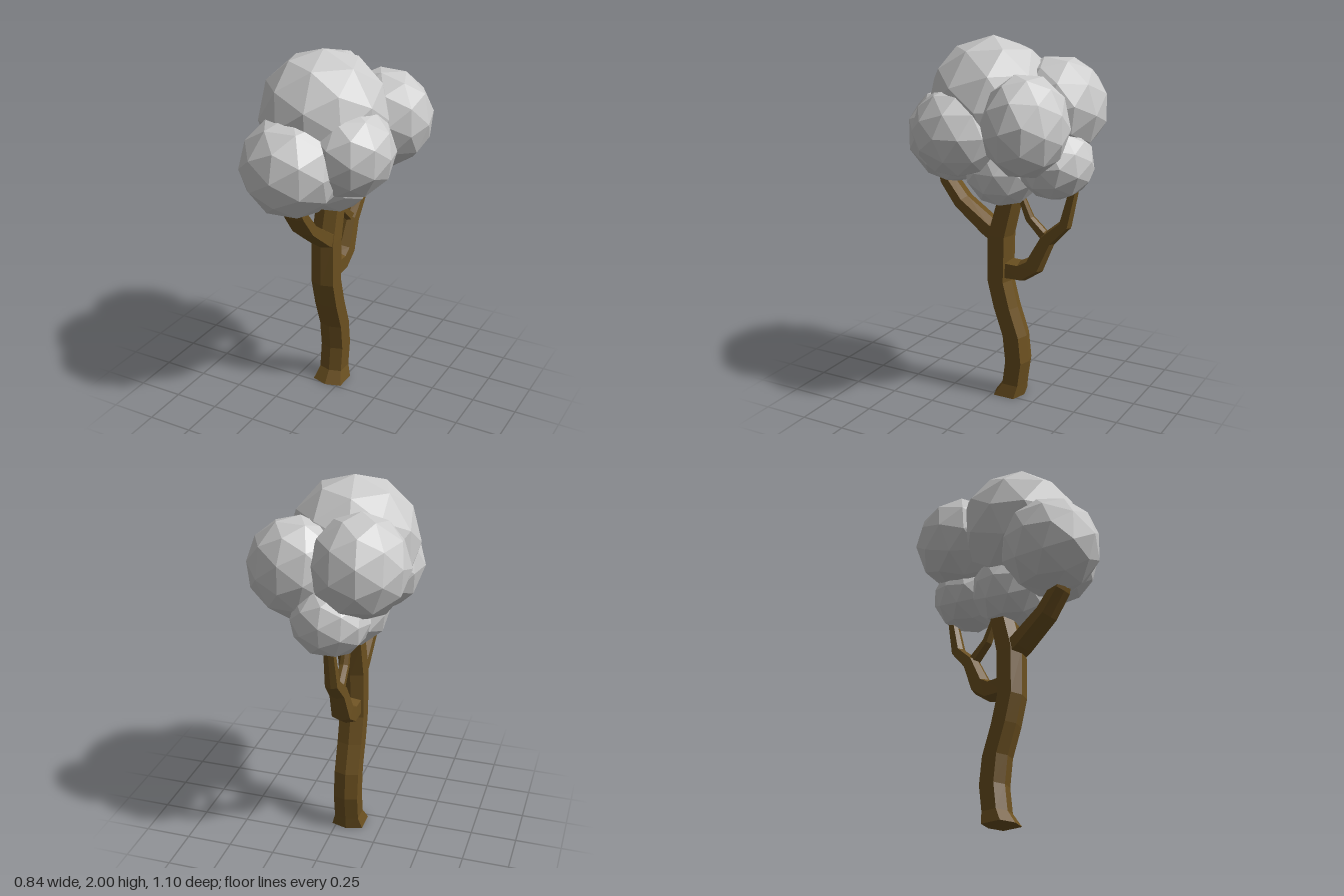
import * as THREE from 'three';

const bark = new THREE.MeshStandardMaterial({ color: 0x6b5020, flatShading: true });
const leaf = new THREE.MeshStandardMaterial({ color: 0xcccccc, flatShading: true });
const TRUNK_X = -0.065;

// Boxy six-sided cross-section: [width factor, depth factor], with ridges front and back
const RING = [[0, 1], [-1, 0.7], [-1, -0.7], [0, -1], [1, -0.7], [1, 0.7]];

// Limb lofted along a path in the YZ plane.
// Each section is [z, y, half depth, half width]; level keeps the rings horizontal.
function limb(name, sections, level = false) {
  const pos = [], idx = [], n = sections.length;
  sections.forEach(([z, y, depth, width], i) => {
    const a = sections[Math.max(i - 1, 0)], b = sections[Math.min(i + 1, n - 1)];
    const len = Math.hypot(b[0] - a[0], b[1] - a[1]);
    const tz = level ? 0 : (b[0] - a[0]) / len;
    const ty = level ? 1 : (b[1] - a[1]) / len;
    for (const [u, v] of RING) {
      pos.push(u * width, y - tz * v * depth, z + ty * v * depth);
    }
  });
  for (let i = 0; i < n - 1; i++) {
    for (let j = 0; j < 6; j++) {
      const a = i * 6 + j, b = i * 6 + (j + 1) % 6;
      idx.push(a, a + 6, b, b, a + 6, b + 6);
    }
  }
  // end caps
  const top = (n - 1) * 6;
  for (let j = 1; j < 5; j++) idx.push(0, j, j + 1, top, top + j + 1, top + j);
  const geo = new THREE.BufferGeometry();
  geo.setAttribute('position', new THREE.Float32BufferAttribute(pos, 3));
  geo.setIndex(idx);
  geo.computeVertexNormals();
  const mesh = new THREE.Mesh(geo, bark);
  mesh.name = name;
  mesh.position.x = TRUNK_X;
  return mesh;
}

// Faceted ball of leaves, turned and tilted before it is sized
function foliage(name, center, size, turn, tilt) {
  const geo = new THREE.IcosahedronGeometry(1, 1).rotateX(tilt).rotateY(turn);
  const mesh = new THREE.Mesh(geo, leaf);
  mesh.name = name;
  mesh.position.set(...center);
  mesh.scale.set(...size);
  return mesh;
}

export function createModel() {
  const tree = new THREE.Group();
  tree.name = 'tree';

  // Wavy trunk with a flared foot
  tree.add(limb('trunk', [
    [-0.078, 0, 0.0875, 0.0875], [-0.107, 0.07, 0.067, 0.0675],
    [-0.126, 0.21, 0.068, 0.0675], [-0.109, 0.36, 0.068, 0.0675],
    [-0.053, 0.52, 0.068, 0.0675], [-0.014, 0.67, 0.067, 0.0675],
    [-0.018, 0.93, 0.07, 0.0675], [-0.07, 1.13, 0.064, 0.065],
    [-0.09, 1.25, 0.055, 0.055],
  ], true));

  // Branches
  tree.add(limb('frontBranch', [
    [-0.02, 0.92, 0.052, 0.064], [0.05, 0.96, 0.048, 0.064],
    [0.22, 1.085, 0.038, 0.062], [0.31, 1.2, 0.033, 0.058], [0.345, 1.29, 0.022, 0.045],
  ]));
  tree.add(limb('backBranch', [
    [-0.03, 0.738, 0.06, 0.055], [-0.15, 0.738, 0.058, 0.053],
    [-0.225, 0.785, 0.054, 0.05], [-0.3, 0.94, 0.042, 0.04],
    [-0.398, 1.035, 0.034, 0.033], [-0.45, 1.26, 0.023, 0.025],
  ]));
  tree.add(limb('backTwig', [
    [-0.32, 0.945, 0.03, 0.028], [-0.27, 0.965, 0.027, 0.026],
    [-0.19, 1.04, 0.023, 0.023], [-0.135, 1.16, 0.018, 0.018],
  ]));

  // Crown
  const crown = new THREE.Group();
  crown.name = 'crown';
  [
    ['topFoliage', [-0.053, 1.655, 0.025], [0.343, 0.345, 0.347], 0.75, 0],
    ['frontFoliage', [-0.098, 1.45, 0.276], [0.272, 0.27, 0.274], 0.1, 0],
    ['leftFoliage', [0.15, 1.522, 0.125], [0.235, 0.243, 0.242], 0.5, 0],
    ['backLeftFoliage', [0.162, 1.588, -0.272], [0.253, 0.266, 0.222], -0.1, 0.3],
    ['backRightFoliage', [-0.175, 1.638, -0.293], [0.255, 0.266, 0.266], 0.2, 0.3],
    ['lowBackFoliage', [-0.04, 1.368, -0.344], [0.207, 0.195, 0.208], 0, 0.15],
    ['lowMiddleFoliage', [-0.042, 1.312, -0.043], [0.222, 0.215, 0.212], 0.25, 0],
  ].forEach((f) => crown.add(foliage(...f)));
  tree.add(crown);

  return tree;
}
